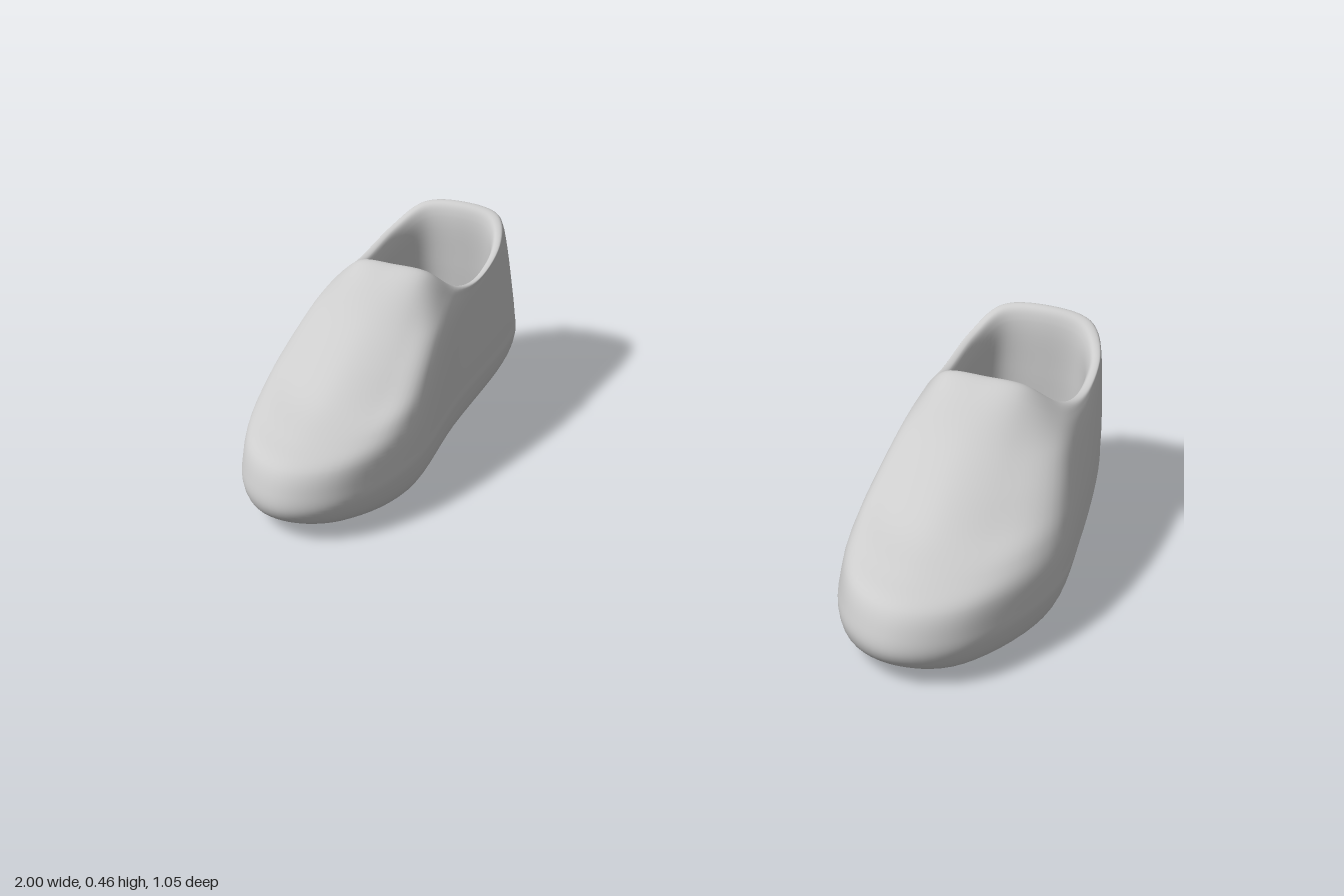
import * as THREE from 'three';

const V = (x, y, z) => new THREE.Vector3(x, y, z);

// Widest outline of the left shoe [x, y, z]: toe, inner side, heel, outer side
const OUTLINE = [
  [0.74, 0.08, 0.525], [0.605, 0.085, 0.45], [0.54, 0.1, 0.24], [0.575, 0.12, -0.05],
  [0.6, 0.13, -0.36], [0.655, 0.13, -0.5], [0.77, 0.13, -0.527], [0.885, 0.13, -0.5],
  [0.94, 0.13, -0.36], [0.985, 0.12, -0.05], [0.99, 0.1, 0.19], [0.885, 0.085, 0.44],
];
// Crest of the collar, in the same order
const COLLAR = [
  [0.74, 0.462, -0.04], [0.65, 0.455, -0.05], [0.605, 0.4, -0.11], [0.597, 0.38, -0.22],
  [0.612, 0.408, -0.36], [0.66, 0.45, -0.445], [0.765, 0.462, -0.46], [0.87, 0.45, -0.445],
  [0.92, 0.408, -0.36], [0.925, 0.38, -0.22], [0.9, 0.4, -0.11], [0.83, 0.455, -0.05],
];
// Wall profiles from outline to collar: [inward share, upward share]
const TOE = [[0, 0], [0.01, 0.1], [0.06, 0.24], [0.2, 0.33], [0.4, 0.43], [0.575, 0.58], [0.75, 0.75], [0.92, 0.95], [1, 1]];
const SIDE = [[0, 0], [0.01, 0.1], [0.05, 0.25], [0.15, 0.4], [0.3, 0.55], [0.47, 0.7], [0.65, 0.84], [0.86, 0.96], [1, 1]];
const HEEL = [[0, 0], [0.03, 0.1], [0.1, 0.22], [0.2, 0.36], [0.32, 0.52], [0.45, 0.68], [0.6, 0.82], [0.78, 0.94], [1, 1]];
const PROFILES = [TOE, TOE, SIDE, SIDE, SIDE, HEEL, HEEL, HEEL, SIDE, SIDE, SIDE, TOE];

const soleY = (z) => (z > 0.2 ? 0.4 * (z - 0.2) ** 2 : 0.1 * (0.2 - z));
const OPENING = V(0.76, 0, -0.25);

// Point inset from the collar towards the middle of the opening
function inset(i, amount, y) {
  const c = V(...COLLAR[i]);
  return V(
    THREE.MathUtils.lerp(c.x, OPENING.x, amount),
    y,
    THREE.MathUtils.lerp(c.z, OPENING.z, amount),
  );
}

// One column of the shell: sole centre, sole edge, wall, collar lip, lining
function shellColumn(i) {
  const s = V(...OUTLINE[i]), r = V(...COLLAR[i]);
  const centre = V(0.76, soleY(s.z * 0.72), s.z * 0.72);
  const under = (k, lift) => {
    const p = s.clone().lerp(centre, k);
    p.y = THREE.MathUtils.lerp(soleY(p.z), s.y, lift);
    return p;
  };
  const wall = PROFILES[i].map(([a, b]) => V(
    THREE.MathUtils.lerp(s.x, r.x, a),
    THREE.MathUtils.lerp(s.y, r.y, b),
    THREE.MathUtils.lerp(s.z, r.z, a),
  ));
  return [
    centre, under(0.6, 0), under(0.28, 0.03), under(0.09, 0.32), ...wall,
    inset(i, 0.09, r.y - 0.004), inset(i, 0.15, r.y - 0.035), inset(i, 0.16, 0.31), inset(i, 0.15, 0.23),
  ];
}

// One column of the insole, from its edge to its centre
const insoleColumn = (i) => [0.15, 0.6, 1].map((k) => inset(i, k, 0.23));

// Smooth closed loft through the columns; side = -1 mirrors it
function loft(columnOf, around, rows, side) {
  const columns = OUTLINE.map((_, i) => new THREE.CatmullRomCurve3(columnOf(i)));
  const positions = [], index = [];
  for (let k = 0; k <= rows; k++) {
    const ring = new THREE.CatmullRomCurve3(columns.map((c) => c.getPoint(k / rows)), true, 'catmullrom', 0.5);
    for (let j = 0; j < around; j++) {
      const p = ring.getPoint(j / around);
      positions.push(p.x * side, p.y, p.z);
    }
  }
  for (let k = 0; k < rows; k++) {
    for (let j = 0; j < around; j++) {
      const a = k * around + j, b = k * around + ((j + 1) % around);
      const c = a + around, d = b + around;
      if (side > 0) index.push(a, c, b, b, c, d);
      else index.push(a, b, c, b, d, c);
    }
  }
  const geometry = new THREE.BufferGeometry();
  geometry.setAttribute('position', new THREE.Float32BufferAttribute(positions, 3));
  geometry.setIndex(index);
  geometry.computeVertexNormals();
  return geometry;
}

export function createModel() {
  const model = new THREE.Group();
  model.name = 'pairOfShoes';
  const grey = new THREE.MeshStandardMaterial({ color: 0xcccccc });
  grey.name = 'light grey';

  for (const side of [1, -1]) {
    const shoe = new THREE.Group();
    shoe.name = side > 0 ? 'leftShoe' : 'rightShoe';
    const shell = new THREE.Mesh(loft(shellColumn, 84, 96, side), grey);
    shell.name = 'shell';
    const insole = new THREE.Mesh(loft(insoleColumn, 84, 6, side), grey);
    insole.name = 'insole';
    shoe.add(shell, insole);
    model.add(shoe);
  }
  return model;
}
